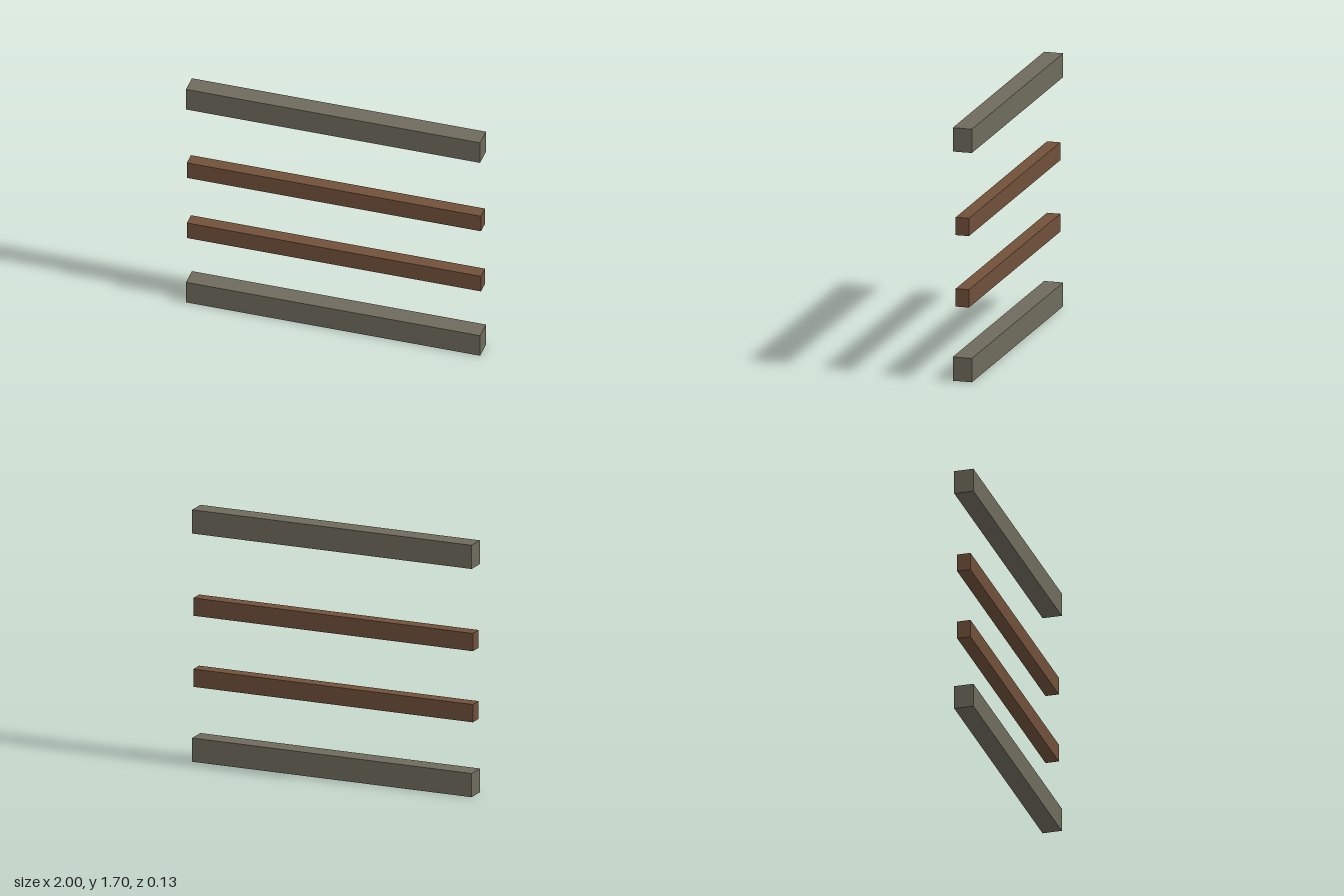
import * as THREE from 'three';

export function createModel() {
  const model = new THREE.Group();
  model.name = 'railFence';

  const greyWood = new THREE.MeshStandardMaterial({ color: 0x6e6a5c });
  greyWood.name = 'greyWood';
  const brownWood = new THREE.MeshStandardMaterial({ color: 0x70503a });
  brownWood.name = 'brownWood';

  // A full-length horizontal beam standing on the given bottom height
  const addBeam = (name, bottom, height, depth, material) => {
    const beam = new THREE.Mesh(new THREE.BoxGeometry(2, height, depth), material);
    beam.name = name;
    beam.position.y = bottom + height / 2;
    model.add(beam);
  };

  // Thick outer beams
  addBeam('bottomBeam', 0, 0.16, 0.13, greyWood);
  addBeam('topBeam', 1.54, 0.16, 0.13, greyWood);

  // Slimmer rails between them
  addBeam('lowerRail', 0.5, 0.12, 0.09, brownWood);
  addBeam('upperRail', 0.98, 0.12, 0.09, brownWood);

  return model;
}
